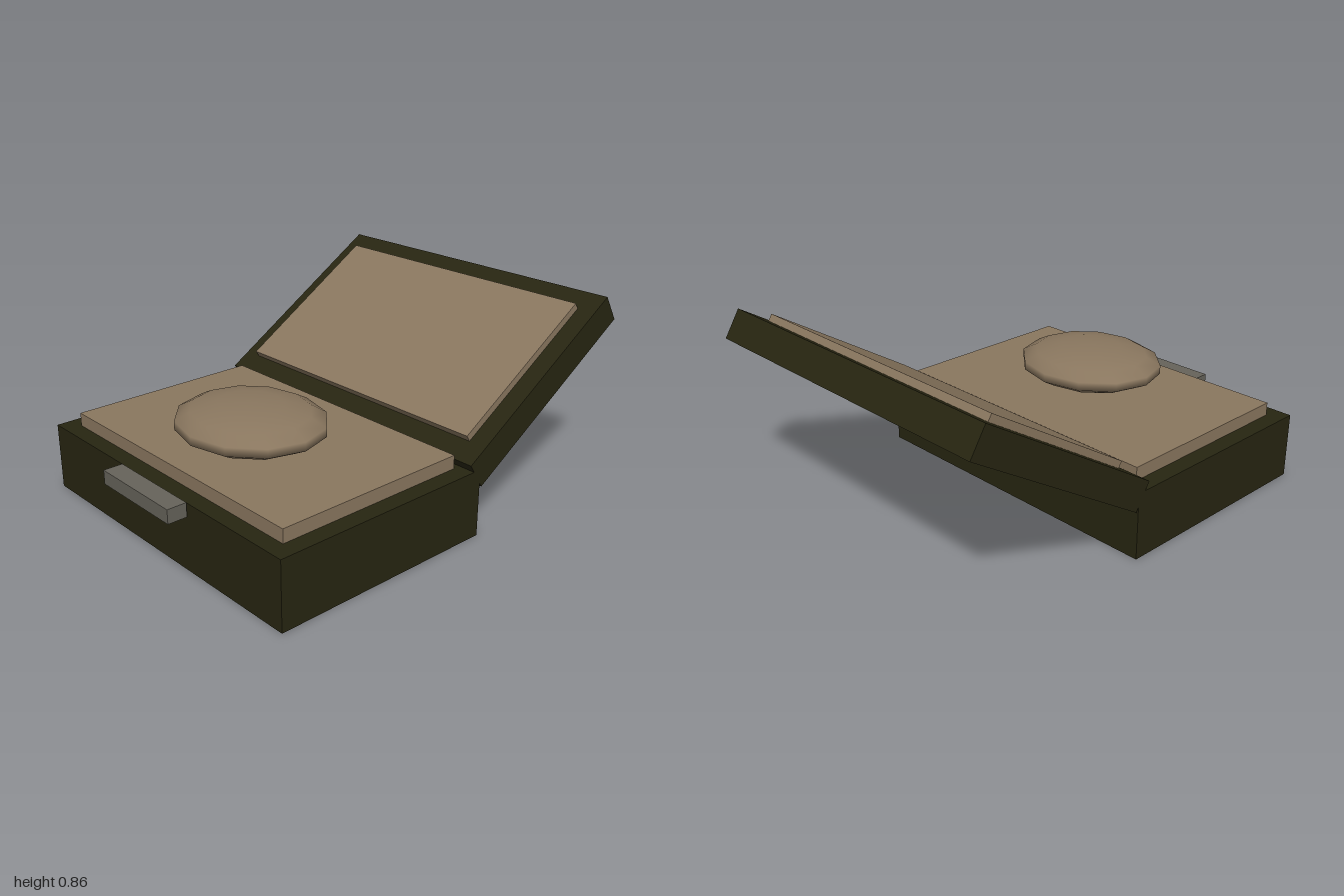
import * as THREE from 'three';

export function createModel() {
  const model = new THREE.Group();
  model.name = 'openCase';

  const material = (name, color) => {
    const m = new THREE.MeshStandardMaterial({ color });
    m.name = name;
    return m;
  };
  const shell = material('darkOliveShell', 0x272511);
  const lining = material('tanLining', 0x8a775f);
  const metal = material('greyMetal', 0x66635a);

  const box = (parent, name, mat, size, position) => {
    const mesh = new THREE.Mesh(new THREE.BoxGeometry(...size), mat);
    mesh.name = name;
    mesh.position.set(...position);
    parent.add(mesh);
  };

  // Lower half of the case with its raised cushion and front latch
  box(model, 'base', shell, [1.545, 0.3, 1.045], [0, 0.15, 0.383]);
  box(model, 'baseCushion', lining, [1.39, 0.1, 0.897], [0, 0.31, 0.382]);
  box(model, 'latch', metal, [0.45, 0.062, 0.087], [0, 0.277, 0.9565]);

  // Open lid, tilted back, with its lining panel
  const lid = new THREE.Group();
  lid.name = 'lid';
  lid.position.set(0, 0.5425, -0.54);
  lid.rotation.x = THREE.MathUtils.degToRad(32);
  box(lid, 'lidShell', shell, [1.545, 0.135, 1.0], [0, 0, 0]);
  box(lid, 'lidLining', lining, [1.372, 0.06, 0.797], [0, 0.0695, 0]);
  model.add(lid);

  // Flattened pillow floating over the cushion
  const pillow = new THREE.Mesh(new THREE.SphereGeometry(1, 12, 7), lining);
  pillow.name = 'pillow';
  pillow.scale.set(0.351, 0.0865, 0.311);
  pillow.position.set(0.045, 0.453, 0.456);
  model.add(pillow);

  return model;
}
